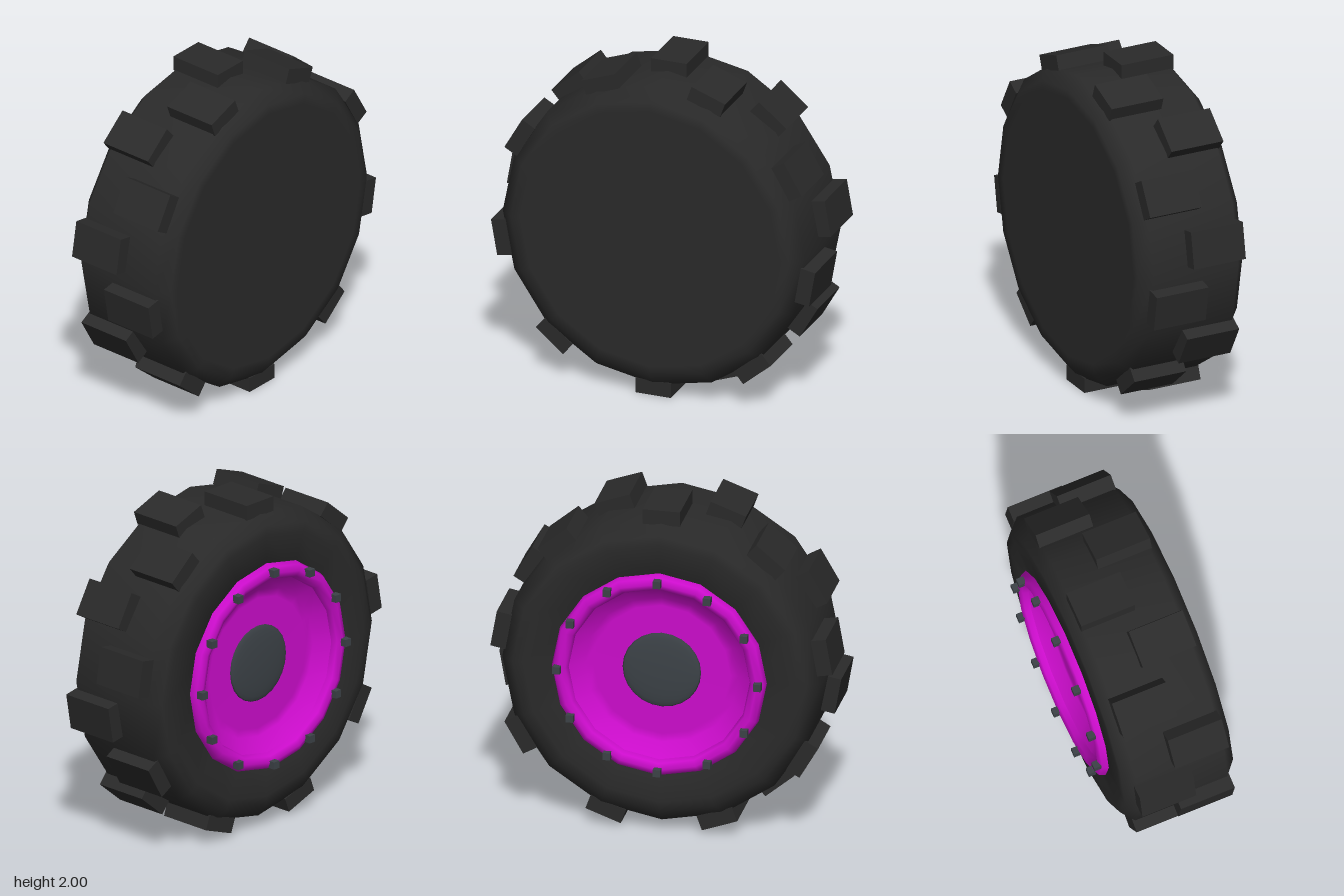
import * as THREE from 'three';

export function createModel() {
  const mat = (name, color) => {
    const m = new THREE.MeshStandardMaterial({ color });
    m.name = name;
    return m;
  };
  const rubber = mat('black rubber', 0x2a2a2a);
  const magenta = mat('magenta rim', 0xcc0ccc);
  const steel = mat('dark steel', 0x3c4247);

  const model = new THREE.Group();
  model.name = 'wheel';
  const wheel = new THREE.Group();
  wheel.name = 'wheelAssembly';
  wheel.position.y = 1;
  model.add(wheel);

  const SIDES = 16;
  const add = (name, geometry, material) => {
    const mesh = new THREE.Mesh(geometry, material);
    mesh.name = name;
    wheel.add(mesh);
    return mesh;
  };
  // Profile of [radius, x] pairs, turned about the x axle
  const turned = (name, profile, material) => {
    const g = new THREE.LatheGeometry(profile.map(([r, x]) => new THREE.Vector2(r, x)), SIDES);
    g.rotateZ(-Math.PI / 2);
    return add(name, g, material);
  };

  // Tyre: open on the rim side, closed on the inner side
  turned('tyre', [
    [0.58, -0.2], [0.58, -0.3], [0.8, -0.3], [0.86, -0.3], [0.935, -0.235],
    [0.935, 0.31], [0.86, 0.375], [0.8, 0.375], [0, 0.375],
  ], rubber);

  // Rim: recessed dish and rounded lip
  turned('rimDish', [[0, -0.23], [0.4, -0.23], [0.45, -0.235], [0.54, -0.31]], magenta);
  const lip = new THREE.TorusGeometry(0.58, 0.05, 8, SIDES);
  lip.rotateY(Math.PI / 2);
  add('rimLip', lip, magenta).position.x = -0.3;

  // Hub cap: shallow dome on the dish
  const cap = new THREE.SphereGeometry(0.23, 24, 12);
  cap.rotateZ(Math.PI / 2);
  cap.scale(0.1, 1, 1);
  add('hubCap', cap, steel).position.x = -0.233;

  // Place a block around the axle at an angle from the top
  const placeAround = (mesh, x, radius, angle) => {
    mesh.position.set(x, radius * Math.cos(angle), radius * Math.sin(angle));
    mesh.rotation.x = angle;
  };

  // Tread blocks alternate between two overlapping rows
  const block = new THREE.BoxGeometry(0.335, 0.09, 0.22);
  for (let i = 0; i < 18; i++) {
    placeAround(add('treadBlock', block, rubber), i % 2 ? 0.158 : -0.082, 0.953, i * Math.PI / 9);
  }

  // Rim bolts
  const bolt = new THREE.BoxGeometry(0.044, 0.044, 0.044);
  for (let i = 0; i < 12; i++) {
    const a = i * Math.PI / 6;
    const b = add('rimBolt', bolt, steel);
    placeAround(b, -0.36, 0.588, a);
    b.rotation.x = 0;
  }
  return model;
}
